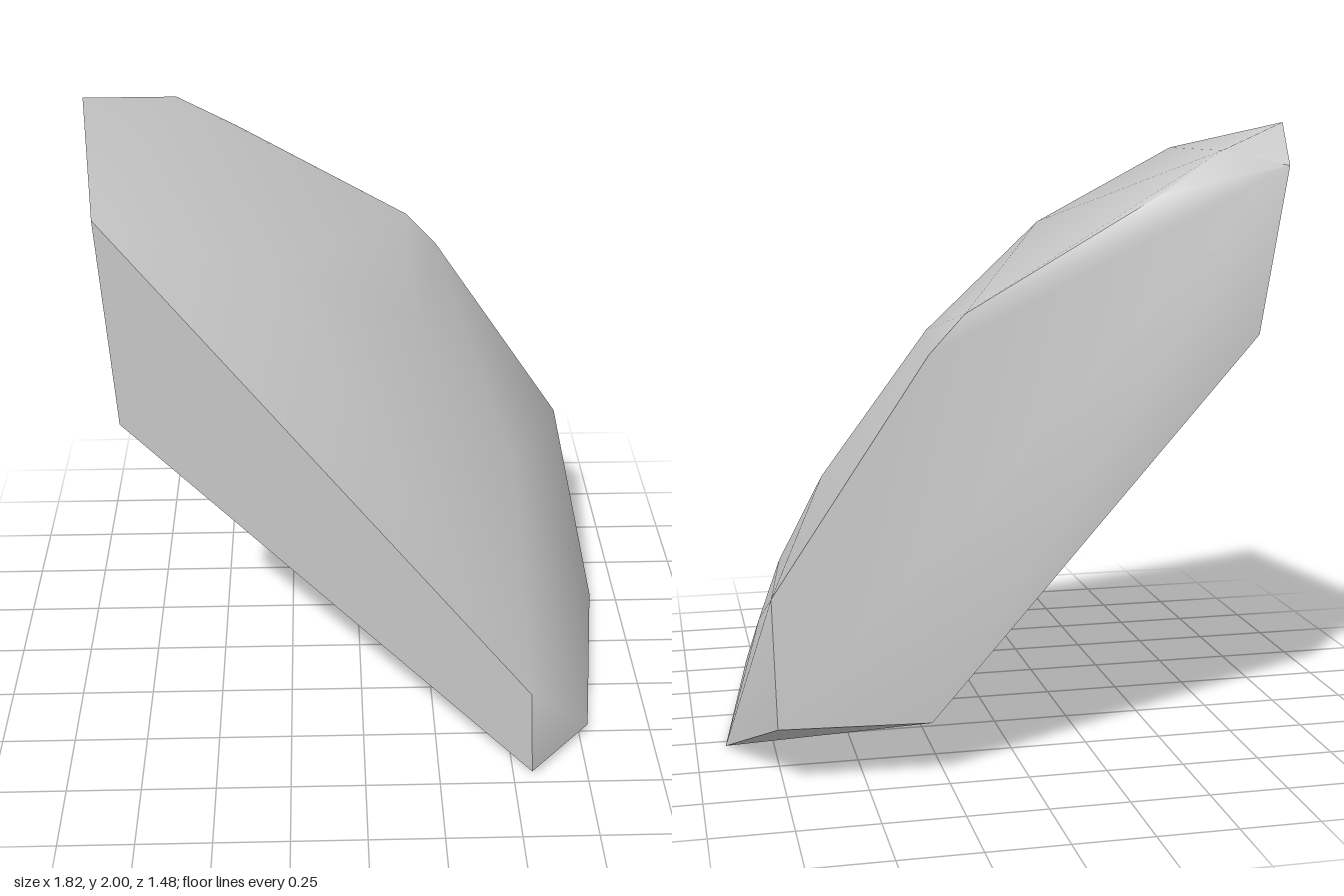
import * as THREE from 'three';
import { ConvexGeometry } from 'three/addons/geometries/ConvexGeometry.js';
import { toCreasedNormals } from 'three/addons/utils/BufferGeometryUtils.js';

export function createModel() {
  const model = new THREE.Group();
  model.name = 'rock';

  const stone = new THREE.MeshStandardMaterial({ color: 0xc8c8c8 });
  stone.name = 'grey stone';

  // corners of the flat front facet
  const front = [[-0.8, 1.91, 0.4], [0.54, 0.37, 0.74], [0.56, 0.03, 0.73], [-0.77, 1.2, 0.38]];
  // outline of the nearly flat back
  const back = [
    [-0.8, 1.87, -0.74], [-0.72, 1.36, -0.735], [0.3, 0.19, -0.725], [0.77, 0.2, -0.715],
    [0.78, 0.6, -0.69], [0.3, 1.32, -0.692], [0.19, 1.44, -0.692], [-0.42, 1.79, -0.69],
  ];
  // peak and upper ridge
  const ridge = [[-0.91, 2, -0.4], [-0.62, 1.915, -0.64], [-0.26, 1.655, 0.24], [0.2, 1.32, -0.09]];
  // bulge running down the long outer slope
  const bulge = [[0.54, 0.81, 0.05], [0.66, 0.43, 0.4], [0.77, 0.35, -0.05]];
  // underside corners
  const base = [[0.905, 0, -0.29], [0.78, 0.03, 0.5], [0.3, 0.03, 0.2]];

  const points = [...front, ...back, ...ridge, ...bulge, ...base].map((p) => new THREE.Vector3(...p));
  const geometry = toCreasedNormals(new ConvexGeometry(points), 0.8);
  const boulder = new THREE.Mesh(geometry, stone);
  boulder.name = 'boulder';
  model.add(boulder);
  return model;
}
